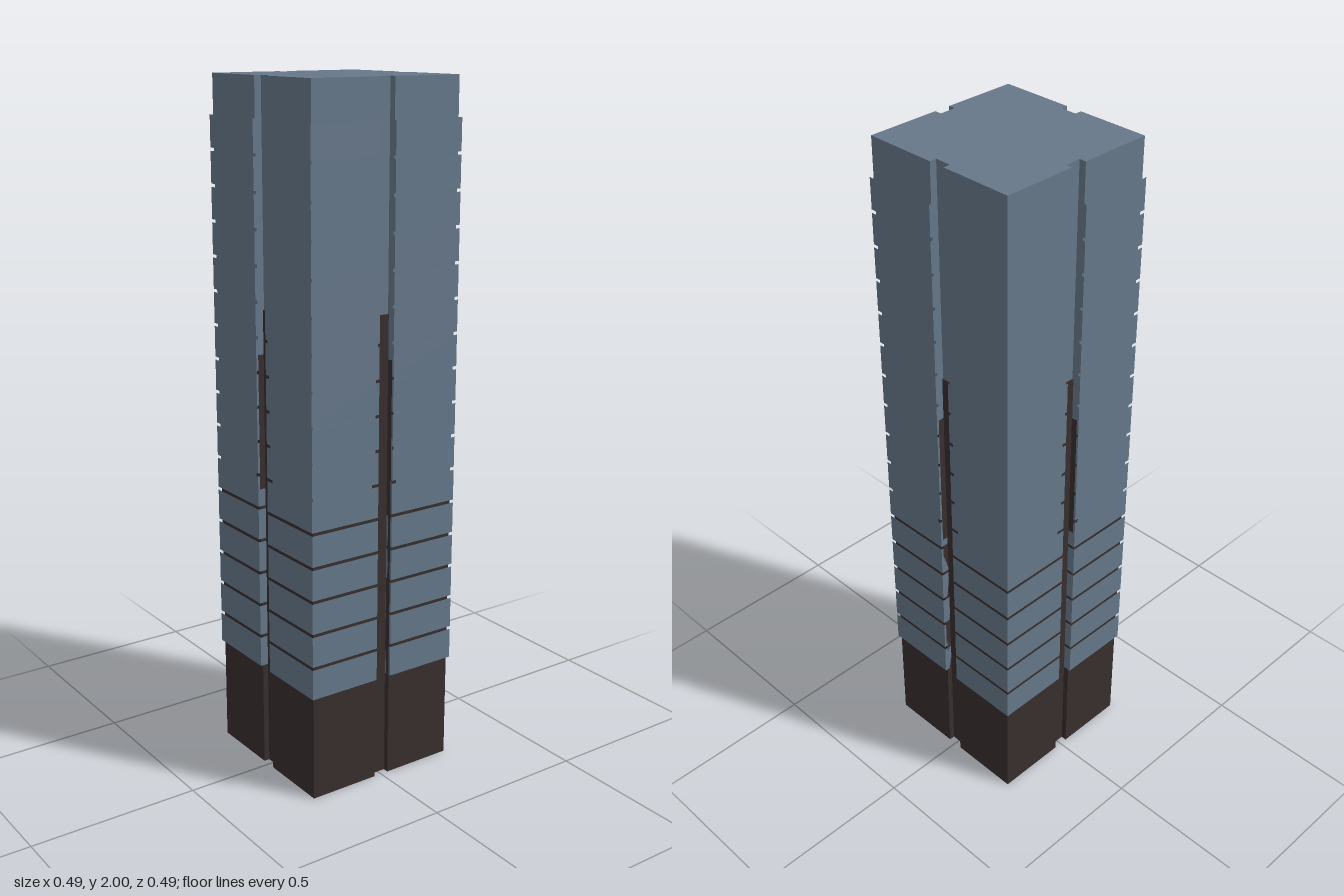
import * as THREE from 'three';

const HALF = 0.239, BAND = 0.246, NOTCH = 0.024, FLOOR = 0.2185;

// Square plan with a shallow notch in the middle of each side, as [x, z] points
function plan(r) {
  let side = [[-r, r], [-NOTCH, r], [-NOTCH, FLOOR], [NOTCH, FLOOR], [NOTCH, r]];
  const points = [];
  for (let i = 0; i < 4; i++) {
    points.push(...side);
    side = side.map(([x, z]) => [z, -x]);
  }
  return [...points, points[0]];
}

// Upright faces along a path, facing right of the direction of travel
function wall(points, y0, y1) {
  const pos = [];
  for (let i = 0; i < points.length - 1; i++) {
    const [ax, az] = points[i], [bx, bz] = points[i + 1];
    pos.push(ax, y0, az, bx, y0, bz, bx, y1, bz, ax, y0, az, bx, y1, bz, ax, y1, az);
  }
  const g = new THREE.BufferGeometry();
  g.setAttribute('position', new THREE.Float32BufferAttribute(pos, 3));
  g.computeVertexNormals();
  return g;
}

function cap(points, y, up) {
  const shape = new THREE.Shape(points.slice(0, -1).map(([x, z]) => new THREE.Vector2(x, -z)));
  return new THREE.ShapeGeometry(shape).rotateX(up ? -Math.PI / 2 : Math.PI / 2).translate(0, y, 0);
}

export function createModel() {
  const model = new THREE.Group();
  model.name = 'tower';
  const blue = new THREE.MeshStandardMaterial({ color: 0x66788a });
  blue.name = 'slate blue';
  const dark = new THREE.MeshStandardMaterial({ color: 0x382e2e });
  dark.name = 'dark brown';
  const add = (name, geometry, material, parent = model) => {
    const mesh = new THREE.Mesh(geometry, material);
    mesh.name = name;
    parent.add(mesh);
  };

  // Core: dark below, blue above
  const core = plan(HALF), split = 0.86;
  add('baseUnderside', cap(core, 0, false), dark);
  add('lowerCore', wall(core, 0, split), dark);
  add('upperCore', wall(core, split, 2), blue);
  add('roof', cap(core, 2, true), blue);

  // Storey bands, standing slightly proud of the core
  const skin = plan(BAND);
  for (let i = 0; i < 16; i++) {
    const y = 0.314 + i * 0.099;
    add('storeyBand', wall(skin, y, y + 0.09), blue);
  }

  // Dark lining of each notch, with narrow margins showing in the joints
  for (let i = 0; i < 4; i++) {
    const lining = new THREE.Group();
    lining.name = 'notchLining';
    lining.rotation.y = i * Math.PI / 2;
    model.add(lining);
    add('notchFloor', new THREE.BoxGeometry(NOTCH * 2, 1.375, 0.008).translate(0, 0.6875, 0.218), dark, lining);
    const n = NOTCH - 0.0006, f = HALF + 0.001;
    add('notchWallLeft', wall([[n, 0.22], [n, f]], split, 1.25), dark, lining);
    add('notchWallRight', wall([[-n, f], [-n, 0.22]], split, 1.25), dark, lining);
    for (const [w, y0, y1] of [[0.042, split, 0.95], [0.031, 0.95, 1.25]]) {
      add('jointMarginLeft', wall([[NOTCH, f], [w, f]], y0, y1), dark, lining);
      add('jointMarginRight', wall([[-w, f], [-NOTCH, f]], y0, y1), dark, lining);
    }
  }
  return model;
}
